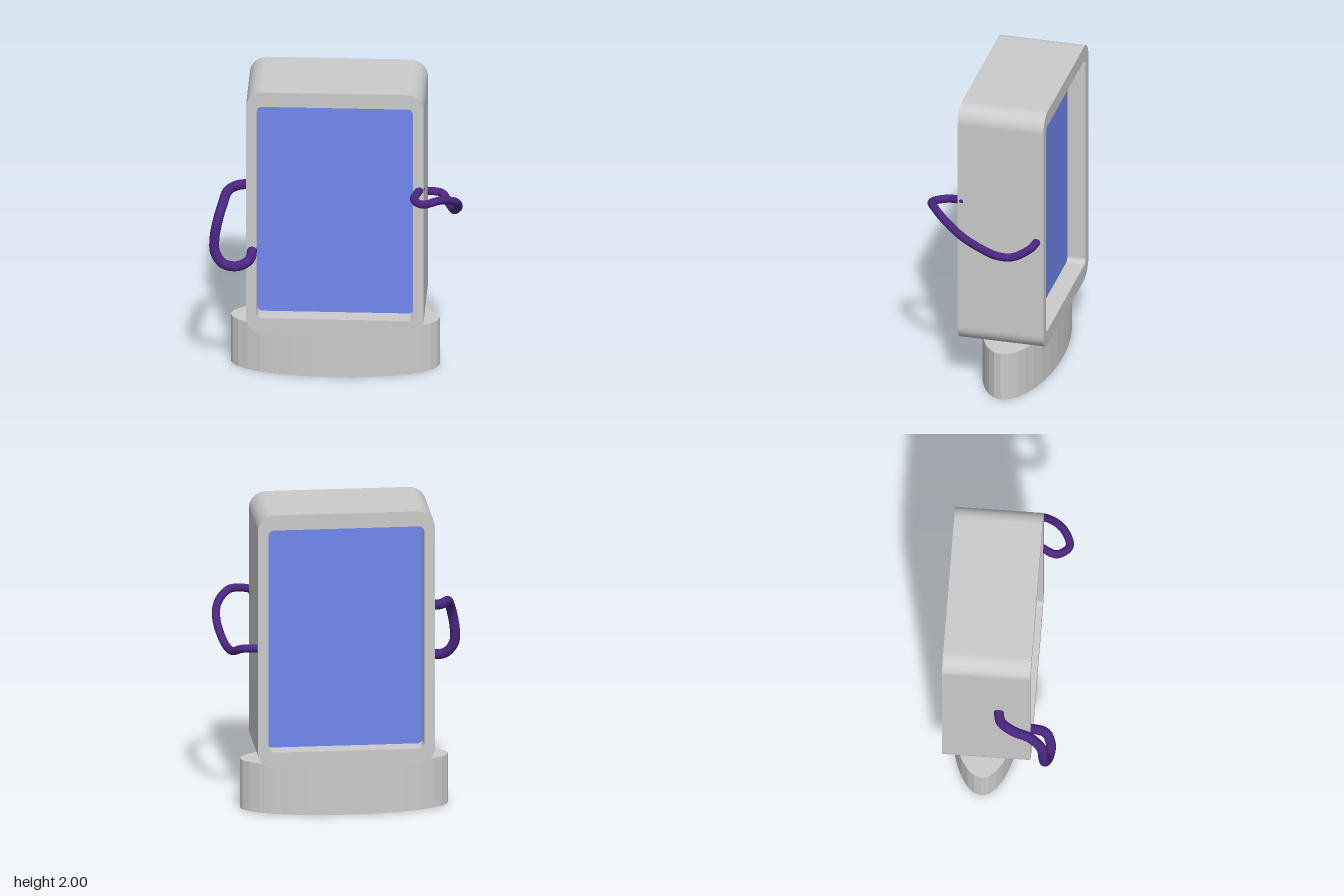
import * as THREE from 'three';

const GREY = 0xcccccc, BLUE = 0x7088ee, PURPLE = 0x4a2580;

function addMesh(group, name, geometry, color, options = {}) {
  const mesh = new THREE.Mesh(geometry, new THREE.MeshStandardMaterial({ color, ...options }));
  mesh.name = name;
  group.add(mesh);
  return mesh;
}

// Rounded rectangle outline between two corners
function roundedRect(path, x0, y0, x1, y1, r) {
  path.moveTo(x0 + r, y0);
  path.lineTo(x1 - r, y0);
  path.absarc(x1 - r, y0 + r, r, -Math.PI / 2, 0);
  path.lineTo(x1, y1 - r);
  path.absarc(x1 - r, y1 - r, r, 0, Math.PI / 2);
  path.lineTo(x0 + r, y1);
  path.absarc(x0 + r, y1 - r, r, Math.PI / 2, Math.PI);
  path.lineTo(x0, y0 + r);
  path.absarc(x0 + r, y0 + r, r, Math.PI, Math.PI * 1.5);
  return path;
}

// Extrudes a shape from z0 to z1
function slab(shape, z0, z1) {
  const geometry = new THREE.ExtrudeGeometry(shape, {
    depth: z1 - z0, bevelEnabled: false, curveSegments: 8,
  });
  return geometry.translate(0, 0, z0);
}

// Bent cable with domed ends
function addCable(group, name, coords, radius) {
  const points = coords.map((p) => new THREE.Vector3(...p));
  const cable = new THREE.Group();
  cable.name = name;
  const curve = new THREE.CatmullRomCurve3(points);
  addMesh(cable, name + 'Tube', new THREE.TubeGeometry(curve, 96, radius, 14), PURPLE);
  for (const end of [points[0], points[points.length - 1]]) {
    const cap = addMesh(cable, name + 'End', new THREE.SphereGeometry(radius, 14, 8), PURPLE);
    cap.position.copy(end);
  }
  group.add(cable);
}

export function createModel() {
  const model = new THREE.Group();
  model.name = 'displayStand';

  // Oval plinth
  const base = new THREE.CylinderGeometry(1, 1, 0.325, 32);
  base.scale(0.665, 1, 0.2375);
  base.translate(-0.02, 0.1625, -0.1225);
  addMesh(model, 'base', base, GREY, { flatShading: true });

  // Deep frame, open at the front and the back
  const outline = roundedRect(new THREE.Shape(), -0.575, 0.325, 0.557, 2, 0.11);
  outline.holes.push(roundedRect(new THREE.Path(), -0.507, 0.43, 0.489, 1.9, 0.035));
  addMesh(model, 'frame', slab(outline, -0.38, 0.183), GREY);

  // Screen filling the frame, set back on both sides
  const screen = roundedRect(new THREE.Shape(), -0.507, 0.43, 0.489, 1.9, 0.035);
  addMesh(model, 'screen', slab(screen, -0.26, 0.063), BLUE);

  // Cable on the model's left, from the front edge to the rear of the side
  addCable(model, 'leftCable', [
    [0.535, 1.34, 0.16], [0.5, 1.315, 0.27], [0.56, 1.315, 0.348], [0.67, 1.325, 0.3],
    [0.755, 1.27, 0.19], [0.775, 1.2, 0.09], [0.762, 1.13, -0.02], [0.735, 1.075, -0.12],
    [0.705, 1.065, -0.22], [0.65, 1.105, -0.315], [0.55, 1.11, -0.335],
  ], 0.026);

  // Cable on the model's right, from the side to the front edge
  addCable(model, 'rightCable', [
    [-0.56, 1.275, -0.02], [-0.64, 1.27, 0], [-0.695, 1.265, 0.08], [-0.72, 1.23, 0.19],
    [-0.75, 1.14, 0.265], [-0.77, 1.02, 0.28], [-0.765, 0.93, 0.29], [-0.71, 0.86, 0.31],
    [-0.62, 0.85, 0.318], [-0.55, 0.875, 0.28], [-0.535, 0.9, 0.16],
  ], 0.032);

  return model;
}
